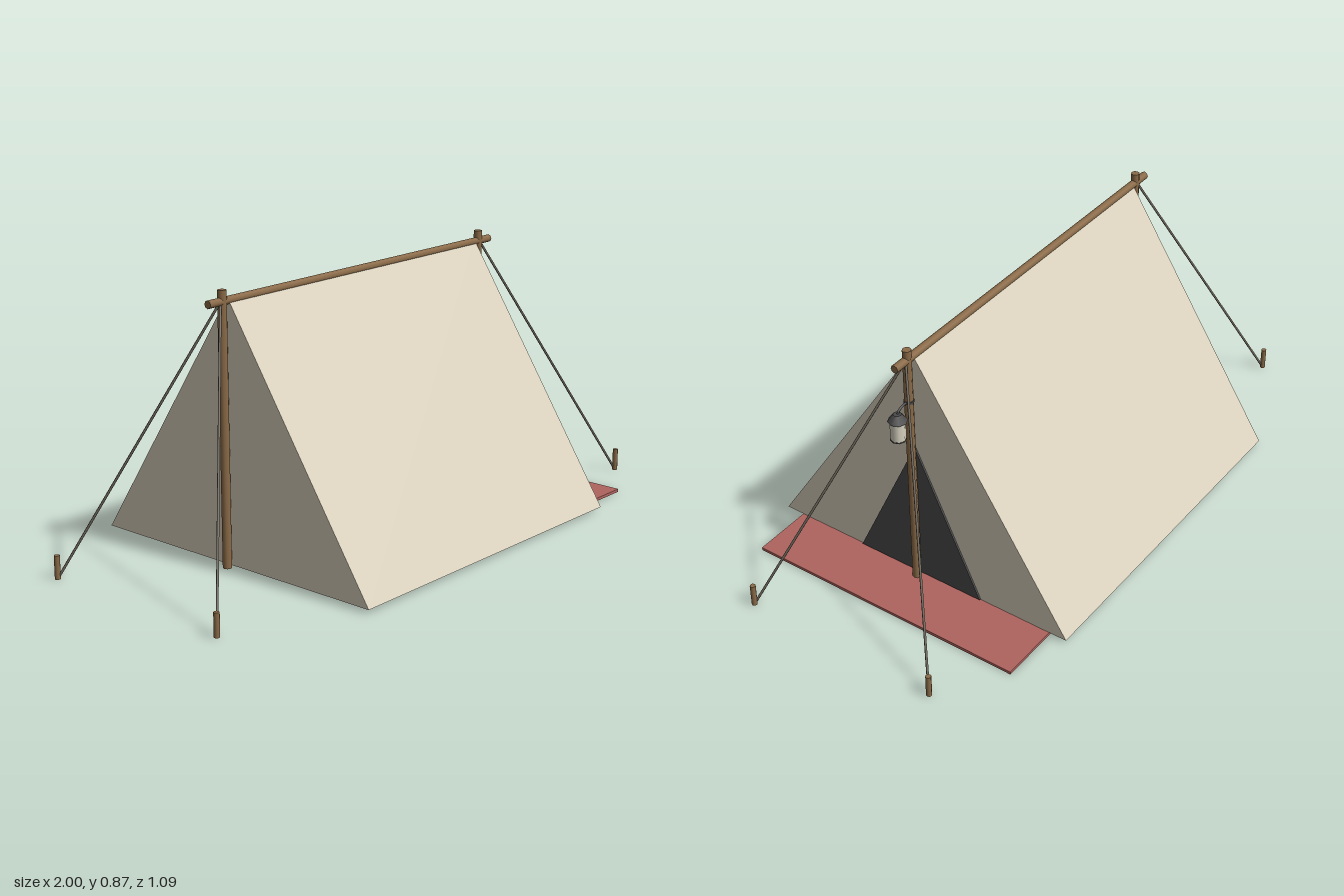
import * as THREE from 'three';

const mat = (name, color) => {
  const m = new THREE.MeshStandardMaterial({ color });
  m.name = name;
  return m;
};

export function createModel() {
  const tent = new THREE.Group();
  tent.name = 'tent';
  const canvas = mat('canvas', 0xd9d0bc);
  const dark = mat('doorDark', 0x4c4c4c);
  const rugRed = mat('rugRed', 0xb0645e);
  const wood = mat('wood', 0x8b6b48);
  const ropeGrey = mat('rope', 0x6b6458);
  const metal = mat('metal', 0x4a4a4a);
  const glass = mat('lanternGlass', 0xd6d2c0);

  const add = (name, geometry, material, x = 0, y = 0, z = 0) => {
    const mesh = new THREE.Mesh(geometry, material);
    mesh.name = name;
    mesh.position.set(x, y, z);
    tent.add(mesh);
    return mesh;
  };

  // Triangular prism running along x
  const prism = (halfWidth, bottom, top, x0, length) => {
    const s = new THREE.Shape();
    s.moveTo(-halfWidth, bottom);
    s.lineTo(halfWidth, bottom);
    s.lineTo(0, top);
    const g = new THREE.ExtrudeGeometry(s, { depth: length, bevelEnabled: false });
    return g.rotateY(Math.PI / 2).translate(x0, 0, 0);
  };

  // Round bar between two points
  const bar = (name, a, b, radius, material, sides = 8) => {
    const from = new THREE.Vector3(...a), to = new THREE.Vector3(...b);
    const dir = to.clone().sub(from);
    const mesh = add(name, new THREE.CylinderGeometry(radius, radius, dir.length(), sides), material);
    mesh.position.copy(from).addScaledVector(dir, 0.5);
    mesh.quaternion.setFromUnitVectors(new THREE.Vector3(0, 1, 0), dir.normalize());
  };

  // Shelter, doorway and ground sheet
  add('canvasShelter', prism(0.545, 0.012, 0.845, -0.59, 1.18), canvas);
  add('doorway', prism(0.23, 0.014, 0.505, 0.588, 0.008), dark);
  add('groundRug', new THREE.BoxGeometry(1.34, 0.01, 0.965), rugRed, 0.12, 0.005, 0);

  // Frame, guy ropes and stakes
  bar('ridgePole', [-0.67, 0.835, 0], [0.67, 0.835, 0], 0.013, wood);
  for (const sx of [-1, 1]) {
    bar('uprightPole', [sx * 0.611, 0.01, 0], [sx * 0.611, 0.87, 0], 0.014, wood);
    for (const sz of [-1, 1]) {
      bar('guyRope', [sx * 0.618, 0.835, 0], [sx * 0.988, 0.008, sz * 0.333], 0.004, ropeGrey, 6);
      bar('stake', [sx * 0.991, 0, sz * 0.336], [sx * 0.991, 0.075, sz * 0.336], 0.009, wood);
    }
  }

  // Lantern hanging from a bent hook
  const hook = new THREE.CatmullRomCurve3([
    new THREE.Vector3(0.611, 0.688, 0),
    new THREE.Vector3(0.642, 0.688, 0),
    new THREE.Vector3(0.66, 0.681, 0),
    new THREE.Vector3(0.667, 0.668, 0),
  ]);
  add('lanternHook', new THREE.TubeGeometry(hook, 12, 0.004, 6), metal);
  add('hookCollar', new THREE.CylinderGeometry(0.0165, 0.0165, 0.008, 8), metal, 0.611, 0.688, 0);
  add('lanternRoof', new THREE.CylinderGeometry(0.013, 0.031, 0.024, 8), metal, 0.667, 0.663, 0);
  add('lanternGlass', new THREE.CylinderGeometry(0.024, 0.024, 0.066, 8), glass, 0.667, 0.618, 0);
  add('lanternBase', new THREE.CylinderGeometry(0.025, 0.025, 0.004, 8), metal, 0.667, 0.585, 0);

  return tent;
}
